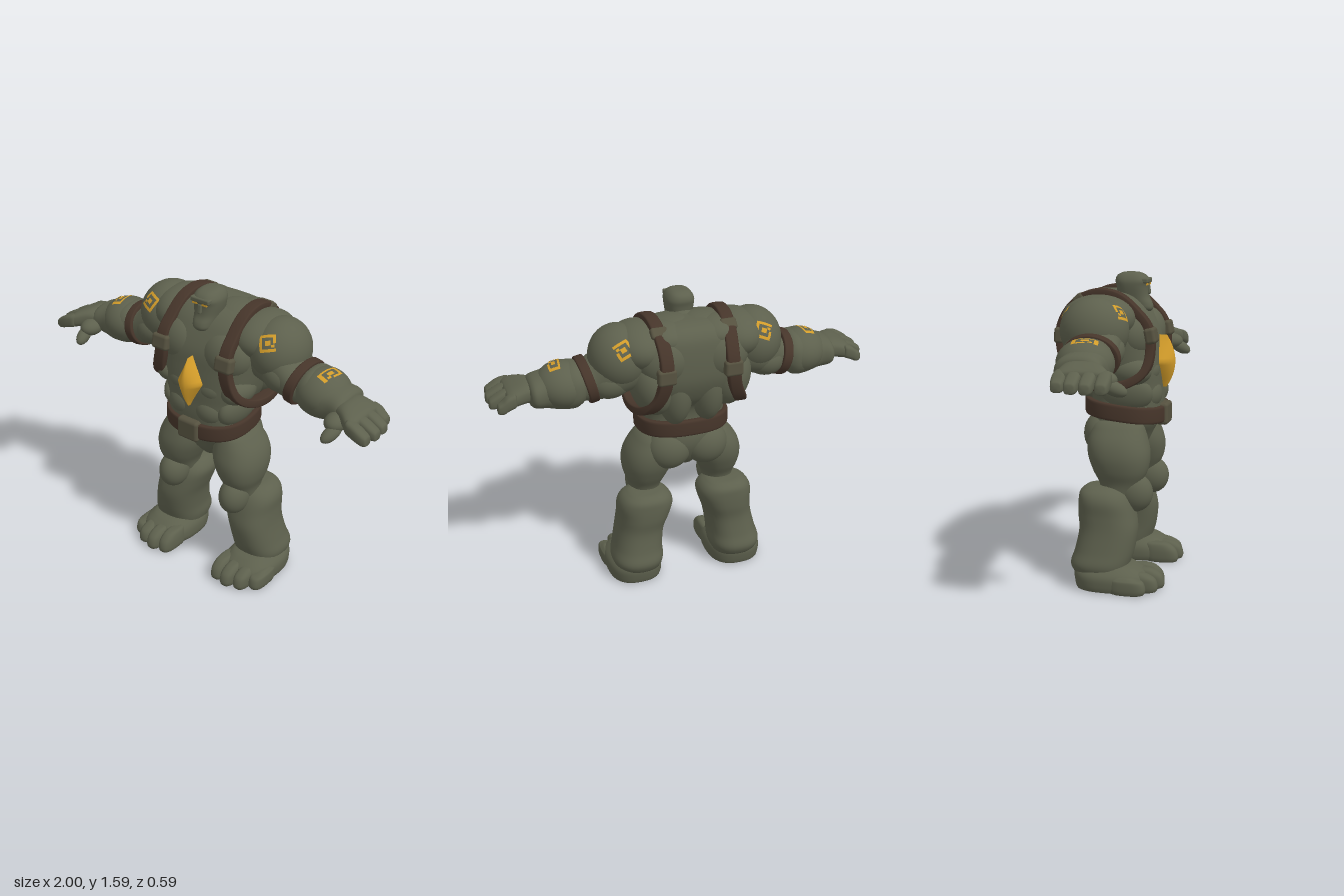
import * as THREE from 'three';
import { mergeVertices, mergeGeometries } from 'three/addons/utils/BufferGeometryUtils.js';
import { RoundedBoxGeometry } from 'three/addons/geometries/RoundedBoxGeometry.js';

const V = (x, y, z) => new THREE.Vector3(x, y, z);
const material = (name, color) => Object.assign(new THREE.MeshStandardMaterial({ color }), { name });
const spow = (v, e) => Math.sign(v) * Math.pow(Math.abs(v), 2 / e);

// Skin a list of equal point loops; closed joins the last loop to the first
function skin(rings, closed = false) {
  const n = rings[0].length, m = rings.length, pos = [], idx = [];
  rings.forEach(r => r.forEach(p => pos.push(p.x, p.y, p.z)));
  for (let i = 0; i < (closed ? m : m - 1); i++) for (let j = 0; j < n; j++) {
    const a = i * n + j, b = ((i + 1) % m) * n + j;
    const c = i * n + (j + 1) % n, d = ((i + 1) % m) * n + (j + 1) % n;
    idx.push(a, b, c, b, d, c);
  }
  if (!closed) for (const [i, end] of [[0, false], [m - 1, true]]) {
    const mid = rings[i].reduce((s, p) => s.add(p), V(0, 0, 0)).divideScalar(n);
    const k = pos.length / 3;
    pos.push(mid.x, mid.y, mid.z);
    for (let j = 0; j < n; j++) {
      const a = i * n + j, b = i * n + (j + 1) % n;
      idx.push(...(end ? [a, k, b] : [a, b, k]));
    }
  }
  const g = new THREE.BufferGeometry();
  g.setAttribute('position', new THREE.Float32BufferAttribute(pos, 3));
  g.setIndex(idx);
  g.computeVertexNormals();
  return g;
}

// Smooth limb from sections [x, y, z, radius, depth radius], along 'y' or 'x'
function loft(axis, sections, power = 2.3, n = 32) {
  const centre = new THREE.CatmullRomCurve3(sections.map(s => V(s[0], s[1], s[2])), false, 'catmullrom');
  const size = new THREE.CatmullRomCurve3(sections.map(s => V(s[3], s[4], 0)), false, 'catmullrom');
  const steps = (sections.length - 1) * 5, rings = [];
  const ring = (t, k) => {
    const c = centre.getPoint(t), s = size.getPoint(t);
    return Array.from({ length: n }, (_, j) => {
      const q = j / n * Math.PI * 2;
      const u = s.x * k * spow(Math.cos(q), power), w = s.y * k * spow(Math.sin(q), power);
      return axis === 'y' ? V(c.x + u, c.y, c.z + w) : V(c.x, c.y + u, c.z - w);
    });
  };
  for (let i = 0; i <= steps; i++) rings.push(ring(i / steps, i === 0 || i === steps ? 0.85 : 1));
  return skin(rings);
}

// Leather band swept round a closed path, its width lying along the hint axis
function band(points, hint, width, thick) {
  const curve = new THREE.CatmullRomCurve3(points, true), rings = [];
  for (let i = 0; i < 64; i++) {
    const p = curve.getPointAt(i / 64), t = curve.getTangentAt(i / 64);
    const w = hint.clone().addScaledVector(t, -hint.dot(t)).normalize();
    const nrm = w.clone().cross(t);
    rings.push(Array.from({ length: 16 }, (_, j) => {
      const q = j / 16 * Math.PI * 2;
      return p.clone().addScaledVector(w, width / 2 * spow(Math.cos(q), 5))
        .addScaledVector(nrm, thick / 2 * spow(Math.sin(q), 5));
    }));
  }
  return skin(rings, true);
}

const ball = (c, r, tilt = 0) => new THREE.SphereGeometry(1, 32, 20)
  .scale(...r).rotateZ(tilt).translate(...c);
const block = (c, s, tiltX = 0) => new RoundedBoxGeometry(...s, 3, Math.min(...s) * 0.3)
  .rotateX(tiltX).translate(...c);

// Painted square hook with a dot, wrapped on an ellipsoid
function mark(c, r, dir, w, h, spin) {
  const C = V(...c), R = V(...r), D = V(...dir).normalize();
  const hit = d => d.clone().divideScalar(d.clone().divide(R).length());
  const base = hit(D), U = V(1, 0, 0).addScaledVector(D, -D.x).normalize(), W = D.clone().cross(U);
  const bars = [[0, 0.42, 1, 0.18], [0, -0.42, 1, 0.18], [-0.42, 0, 0.18, 0.68], [0.42, 0.16, 0.18, 0.36],
    [0.02, 0, 0.32, 0.28], [0.3, -0.18, 0.2, 0.16]];
  return mergeGeometries(bars.map(([x, y, bw, bh]) => {
    const g = new THREE.PlaneGeometry(bw, bh, 5, 5).translate(x, y, 0).scale(w, h, 1).rotateZ(spin);
    const p = g.attributes.position;
    for (let i = 0; i < p.count; i++) {
      const q = base.clone().addScaledVector(U, p.getX(i)).addScaledVector(W, p.getY(i));
      q.copy(hit(q)).multiplyScalar(1.02).add(C);
      p.setXYZ(i, q.x, q.y, q.z);
    }
    g.computeVertexNormals();
    return g;
  }));
}

function mirrored(geo) {
  const g = geo.index ? geo.clone() : mergeVertices(geo);
  g.scale(-1, 1, 1);
  const a = g.index.array;
  for (let i = 0; i < a.length; i += 3) [a[i], a[i + 1]] = [a[i + 1], a[i]];
  return g;
}

export function createModel() {
  const model = new THREE.Group();
  model.name = 'stoneGiant';
  const stone = material('stone', 0x5d604d), leather = material('leather', 0x46352a);
  const metal = material('buckleMetal', 0x55513f), gold = material('gold', 0xd29c2a);
  const one = (name, geo, mat = stone) => {
    const m = new THREE.Mesh(geo, mat);
    m.name = name;
    model.add(m);
  };
  const both = (name, geo, mat = stone) => {
    one(name + 'Left', geo, mat);
    one(name + 'Right', mirrored(geo), mat);
  };

  // Torso core and muscles
  one('torso', loft('y', [[0, 0.84, 0.04, 0.215, 0.18], [0, 0.95, 0.05, 0.22, 0.18], [0, 1.03, 0.04, 0.235, 0.187],
    [0, 1.1, 0.01, 0.265, 0.215], [0, 1.2, -0.015, 0.29, 0.23], [0, 1.3, -0.025, 0.3, 0.225],
    [0, 1.4, -0.045, 0.28, 0.195], [0, 1.45, -0.055, 0.25, 0.165], [0, 1.48, -0.06, 0.2, 0.125],
    [0, 1.495, -0.06, 0.13, 0.07]], 2.8, 48));
  both('chestMuscle', ball([0.13, 1.28, 0.1], [0.15, 0.13, 0.11], 0.15));
  both('upperAbdomen', ball([0.085, 1.1, 0.15], [0.105, 0.075, 0.075]));
  both('lowerAbdomen', ball([0.08, 0.98, 0.155], [0.1, 0.085, 0.083]));
  both('flank', ball([0.175, 0.99, 0.07], [0.065, 0.1, 0.14], -0.2));
  both('ribs', ball([0.205, 1.11, 0.1], [0.08, 0.075, 0.11], 0.3));
  both('sideBackMuscle', ball([0.205, 1.18, -0.11], [0.11, 0.17, 0.14], -0.2));
  both('shoulderBlade', ball([0.145, 1.32, -0.15], [0.145, 0.14, 0.112]));
  both('lowerBackMuscle', ball([0.085, 1.13, -0.12], [0.09, 0.19, 0.115]));
  both('upperBackMuscle', ball([0.13, 1.42, -0.1], [0.13, 0.08, 0.13]));
  both('neckSlope', ball([0.11, 1.45, -0.05], [0.14, 0.052, 0.12], -0.1));

  // Head
  one('neck', ball([0, 1.42, 0.01], [0.1, 0.085, 0.1]));
  one('head', loft('y', [[0, 1.392, 0.11, 0.035, 0.05], [0, 1.41, 0.108, 0.05, 0.064], [0, 1.435, 0.09, 0.057, 0.078],
    [0, 1.47, 0.072, 0.064, 0.08], [0, 1.52, 0.066, 0.073, 0.082], [0, 1.55, 0.066, 0.073, 0.088],
    [0, 1.575, 0.062, 0.06, 0.075], [0, 1.589, 0.06, 0.042, 0.05], [0, 1.594, 0.058, 0.02, 0.025]], 2.5));
  one('brow', block([0, 1.55, 0.128], [0.115, 0.026, 0.055]));
  one('nose', block([0, 1.505, 0.143], [0.024, 0.05, 0.03], -0.15));
  both('eye', new THREE.BoxGeometry(0.03, 0.011, 0.008).translate(0.03, 1.533, 0.148), gold);

  // Chest gem with a soft front ridge
  const gemRings = [];
  for (let i = 0; i <= 16; i++) {
    const f = i / 16 * 2 - 1, w = Math.max(0.002, 0.076 * (1 - Math.abs(f))), d = 0.04 + 0.045 * (1 - f * f);
    gemRings.push(Array.from({ length: 24 }, (_, j) => {
      const q = j / 24 * Math.PI * 2;
      return V(w * spow(Math.cos(q), 1.7), 1.14 + 0.135 * f, 0.206 + d * spow(Math.sin(q), 1.7));
    }));
  }
  one('chestGem', skin(gemRings), gold);

  // Arms
  const deltoid = [[0.35, 1.325, -0.045], [0.152, 0.163, 0.172]];
  const forearm = [[0.63, 1.2, -0.015], [0.14, 0.118, 0.14]];
  both('shoulder', ball(...deltoid));
  both('shoulderRoot', ball([0.25, 1.375, -0.05], [0.15, 0.118, 0.185]));
  both('upperArm', loft('x', [[0.2, 1.3, -0.04, 0.12, 0.13], [0.32, 1.28, -0.045, 0.13, 0.15], [0.42, 1.25, -0.035, 0.13, 0.143],
    [0.5, 1.215, -0.02, 0.1, 0.125], [0.57, 1.2, -0.02, 0.09, 0.11]]));
  both('biceps', ball([0.41, 1.235, 0.035], [0.1, 0.085, 0.085], -0.3));
  both('triceps', ball([0.4, 1.22, -0.1], [0.11, 0.085, 0.085], -0.3));
  both('forearmMuscle', ball(...forearm));
  both('forearm', loft('x', [[0.53, 1.205, -0.02, 0.085, 0.11], [0.58, 1.2, -0.02, 0.115, 0.13], [0.65, 1.19, -0.01, 0.108, 0.128],
    [0.72, 1.185, -0.005, 0.09, 0.112], [0.78, 1.183, -0.008, 0.075, 0.115], [0.805, 1.18, -0.005, 0.055, 0.095]]));
  both('palm', loft('x', [[0.77, 1.185, 0.01, 0.045, 0.09], [0.82, 1.185, 0.025, 0.052, 0.105], [0.88, 1.172, 0.042, 0.048, 0.13],
    [0.915, 1.162, 0.045, 0.037, 0.13]], 2.8));
  [[-0.06, 0.965], [0.01, 0.995], [0.08, 1], [0.15, 0.99]].forEach(([z, tip], i) => {
    const length = tip - 0.87;
    both('finger' + i, loft('x', [[0.87, 1.175, z * 0.95, 0.036, 0.034], [0.87 + length * 0.45, 1.16, z, 0.037, 0.034],
      [tip - 0.025, 1.142, z, 0.032, 0.032], [tip, 1.135, z, 0.022, 0.024]], 3, 20));
  });
  both('thumbBase', ball([0.79, 1.15, 0.11], [0.055, 0.045, 0.07]));
  both('thumb', ball([0, 0, 0], [0.034, 0.034, 0.065]).rotateX(0.4).rotateY(-0.25).translate(0.8, 1.115, 0.165));

  // Gold marks on shoulders and forearms
  both('shoulderMarkFront', mark(...deltoid, [0.02, 0.085, 0.13], 0.085, 0.085, 0.4), gold);
  both('shoulderMarkBack', mark(...deltoid, [0.01, 0.09, -0.14], 0.085, 0.085, 0.4), gold);
  both('forearmMark', mark(...forearm, [0.04, 0.12, 0.01], 0.06, 0.135, -0.15), gold);

  // Harness, arm bands and belt
  both('harnessStrap', band([V(0.185, 1.498, -0.06), V(0.19, 1.478, 0.04), V(0.195, 1.4, 0.135), V(0.198, 1.33, 0.19),
    V(0.205, 1.23, 0.205), V(0.235, 1.12, 0.185), V(0.265, 1.055, 0.1), V(0.275, 1.035, -0.04), V(0.24, 1.075, -0.19),
    V(0.19, 1.18, -0.252), V(0.17, 1.31, -0.268), V(0.172, 1.41, -0.222), V(0.18, 1.475, -0.145)], V(1, 0, 0), 0.068, 0.045), leather);
  both('frontBuckle', block([0.2, 1.29, 0.207], [0.1, 0.08, 0.055], -0.2), metal);
  both('backBuckle', block([0.172, 1.28, -0.27], [0.095, 0.08, 0.05], 0.05), metal);
  both('upperBackBuckle', block([0.178, 1.465, -0.165], [0.085, 0.06, 0.045], 0.85), metal);
  const around = (n, f) => Array.from({ length: n }, (_, i) => f(Math.cos(i / n * Math.PI * 2), Math.sin(i / n * Math.PI * 2)));
  both('armBand', band(around(16, (c, s) => V(0.512 + 0.025 * c, 1.212 + 0.1 * c, -0.02 + 0.13 * s)), V(1, -0.2, 0), 0.05, 0.03), leather);
  one('belt', band(around(24, (c, s) => {
    const z = 0.04 + 0.195 * spow(s, 2.5);
    return V(0.226 * spow(c, 2.5), 0.9 - 0.12 * z, z);
  }), V(0, 1, 0), 0.086, 0.035), leather);
  one('beltBuckle', block([0, 0.87, 0.235], [0.13, 0.115, 0.06]), metal);

  // Hips
  one('pelvis', loft('y', [[0, 0.645, 0.02, 0.045, 0.07], [0, 0.7, 0.02, 0.09, 0.12], [0, 0.77, 0.02, 0.165, 0.155],
    [0, 0.83, 0.03, 0.21, 0.175], [0, 0.9, 0.04, 0.21, 0.175]]));
  both('buttock', ball([0.1, 0.77, -0.065], [0.12, 0.115, 0.1]));

  // Legs
  both('thigh', loft('y', [[0.21, 0.45, 0.03, 0.075, 0.08], [0.205, 0.53, 0.05, 0.085, 0.105], [0.2, 0.6, 0.05, 0.113, 0.14],
    [0.187, 0.68, 0.04, 0.133, 0.16], [0.17, 0.76, 0.03, 0.125, 0.152], [0.15, 0.85, 0.03, 0.075, 0.12]]));
  both('kneeCap', ball([0.205, 0.485, 0.125], [0.077, 0.1, 0.095]));
  both('shin', loft('y', [[0.275, 0.07, -0.03, 0.12, 0.13], [0.277, 0.13, -0.035, 0.138, 0.152], [0.268, 0.2, -0.015, 0.13, 0.152],
    [0.25, 0.3, 0, 0.127, 0.15], [0.232, 0.38, -0.01, 0.137, 0.148], [0.222, 0.45, -0.02, 0.146, 0.138],
    [0.22, 0.495, -0.03, 0.125, 0.12], [0.218, 0.525, -0.035, 0.08, 0.08]], 2.4));
  both('foot', loft('y', [[0.285, 0.004, 0.025, 0.14, 0.175], [0.285, 0.04, 0.03, 0.148, 0.19], [0.285, 0.09, 0.02, 0.142, 0.185],
    [0.28, 0.14, -0.01, 0.1, 0.14]], 2.6));
  [[0.186, 0.28, 0.112], [0.259, 0.295, 0.108], [0.332, 0.275, 0.104], [0.398, 0.225, 0.095]].forEach(([x, front, top], i) =>
    both('toe' + i, loft('y', [[x, 0.004, front - 0.095, 0.036, 0.085], [x, 0.03, front - 0.095, 0.042, 0.095],
      [x, 0.07, front - 0.1, 0.041, 0.088], [x, top - 0.012, front - 0.115, 0.033, 0.07], [x, top, front - 0.125, 0.02, 0.045]], 2.7, 24)));

  return model;
}
